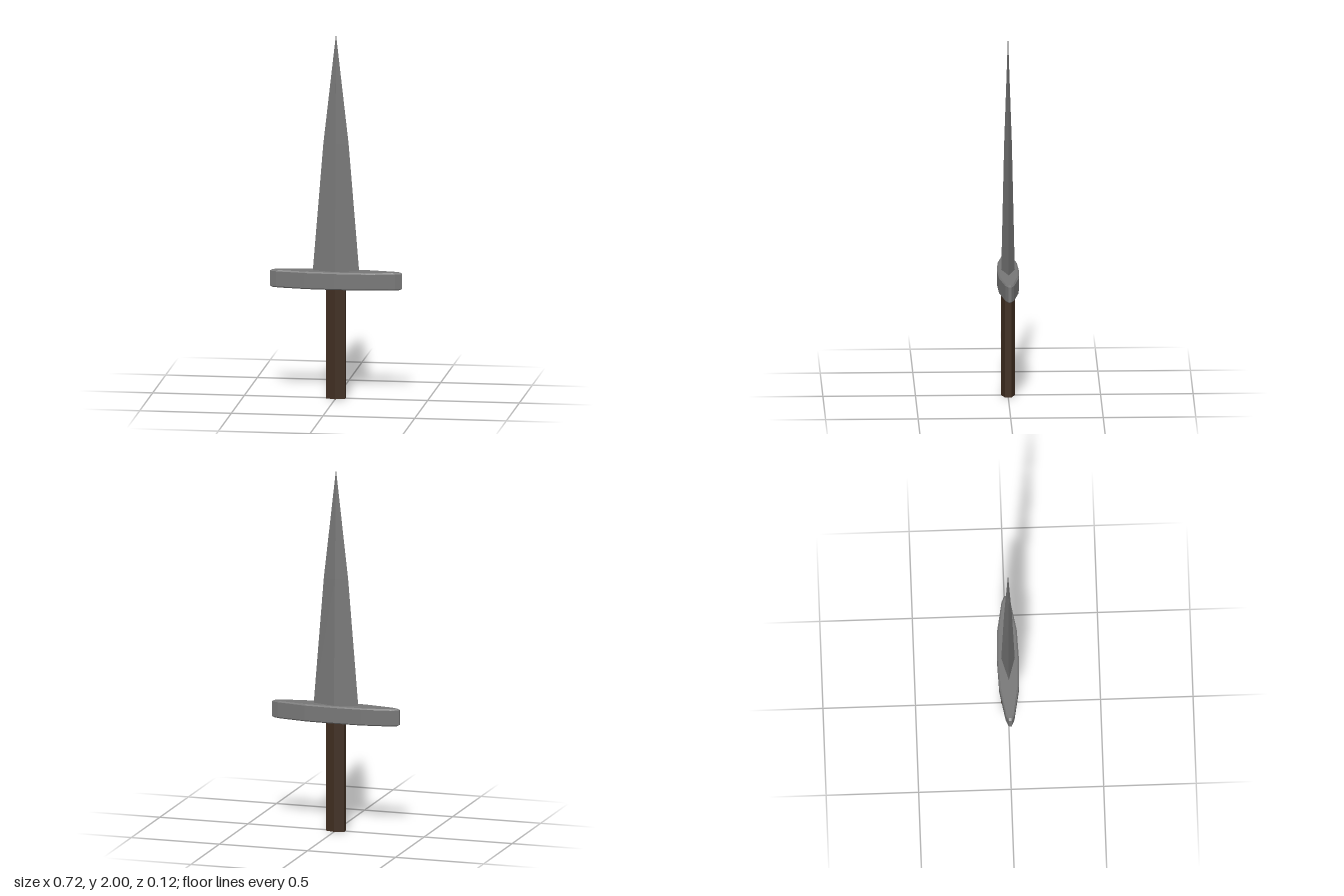
import * as THREE from 'three';

// Skin a closed solid through rings of [x, y, z] points (counter-clockwise seen from above)
function loft(rings) {
  const pos = [];
  const tri = (a, b, c) => pos.push(...a, ...b, ...c);
  const n = rings[0].length;
  for (let r = 0; r < rings.length - 1; r++) {
    for (let i = 0; i < n; i++) {
      const j = (i + 1) % n;
      const [a, b, c, d] = [rings[r][i], rings[r][j], rings[r + 1][j], rings[r + 1][i]];
      tri(a, b, c);
      tri(a, c, d);
    }
  }
  const low = rings[0], high = rings[rings.length - 1];
  for (let i = 1; i < n - 1; i++) {
    tri(low[0], low[i + 1], low[i]);
    tri(high[0], high[i], high[i + 1]);
  }
  const geo = new THREE.BufferGeometry();
  geo.setAttribute('position', new THREE.Float32BufferAttribute(pos, 3));
  geo.computeVertexNormals();
  return geo;
}

export function createModel() {
  const group = new THREE.Group();
  const steel = new THREE.MeshStandardMaterial({ color: 0x767676 });
  steel.name = 'steel';
  const wood = new THREE.MeshStandardMaterial({ color: 0x3f2d20 });
  wood.name = 'darkWood';

  const add = (name, geometry, material) => {
    const mesh = new THREE.Mesh(geometry, material);
    mesh.name = name;
    group.add(mesh);
    return mesh;
  };

  // Blade: diamond sections narrowing to a point
  const diamond = (y, w, d) => [[w, y, 0], [0, y, -d], [-w, y, 0], [0, y, d]];
  add('blade', loft([
    diamond(0.68, 0.128, 0.037),
    diamond(1.4, 0.069, 0.021),
    diamond(2, 0.0005, 0.0005),
  ]), steel);

  // Guard: long tapered outline with a narrow bevel above and below
  const quarter = [[0.36, 0.008], [0.325, 0.024], [0.163, 0.053]];
  const outline = [
    ...quarter.map(([x, z]) => [x, -z]),
    [0, -0.059],
    ...[...quarter].reverse().map(([x, z]) => [-x, -z]),
    ...quarter.map(([x, z]) => [-x, z]),
    [0, 0.059],
    ...[...quarter].reverse(),
  ];
  const guardRing = (y, sx, sz) => outline.map(([x, z]) => [x * sx, y, z * sz]);
  add('guard', loft([
    guardRing(0.604, 0.96, 0.86),
    guardRing(0.611, 1, 1),
    guardRing(0.693, 1, 1),
    guardRing(0.7, 0.96, 0.86),
  ]), steel);

  // Grip: flattened six-sided handle
  const gripGeo = new THREE.CylinderGeometry(1, 1, 0.62, 6).toNonIndexed();
  gripGeo.scale(0.06, 1, 0.037);
  gripGeo.computeVertexNormals();
  add('grip', gripGeo, wood).position.y = 0.31;

  return group;
}
